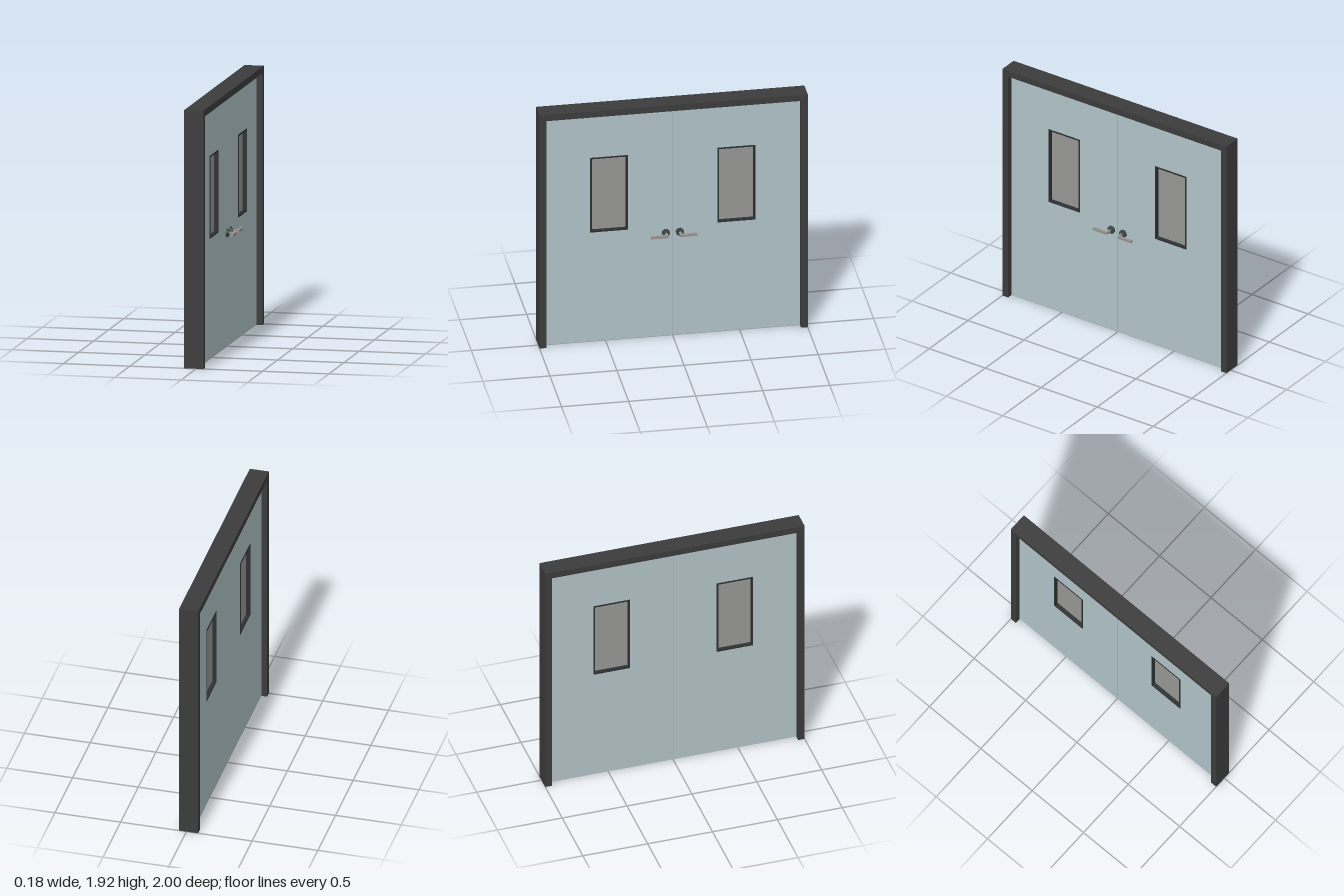
import * as THREE from 'three';

const mat = (name, color) => {
  const m = new THREE.MeshStandardMaterial({ color });
  m.name = name;
  return m;
};

// Rectangle from corner to corner, as a Shape or a hole Path
function rect(Type, a0, b0, a1, b1) {
  const p = new Type();
  p.moveTo(a0, b0);
  p.lineTo(a1, b0);
  p.lineTo(a1, b1);
  p.lineTo(a0, b1);
  p.closePath();
  return p;
}

// Extrude a (z, y) outline along x, from x0 to x1
function extrudeX(shape, x0, x1) {
  return new THREE.ExtrudeGeometry(shape, { depth: x1 - x0, bevelEnabled: false })
    .rotateY(Math.PI / 2).translate(x0, 0, 0);
}

export function createModel() {
  const frameMat = mat('charcoal frame', 0x3c3c3c);
  const doorMat = mat('pale blue paint', 0xb2c4c9);
  const trimMat = mat('dark window trim', 0x2e3031);
  const glassMat = mat('grey glass', 0x979896);
  const roseMat = mat('dark steel', 0x41484a);
  const leverMat = mat('brushed steel', 0x999592);

  const model = new THREE.Group();
  model.name = 'doubleDoor';
  const add = (parent, name, geo, material) => {
    const m = new THREE.Mesh(geo, material);
    m.name = name;
    parent.add(m);
    return m;
  };

  const H = 1.925, T = 0.05;             // overall height, frame width
  const FX0 = -0.09, FX1 = 0.055;        // frame depth
  const DX0 = -0.048, DX1 = 0.013;       // door leaf depth
  const mid = (DX0 + DX1) / 2;

  // Door frame: two jambs and a header in one arch
  const arch = new THREE.Shape([
    [-1, 0], [-1 + T, 0], [-1 + T, H - T], [1 - T, H - T],
    [1 - T, 0], [1, 0], [1, H], [-1, H],
  ].map(([a, b]) => new THREE.Vector2(a, b)));
  add(model, 'doorFrame', extrudeX(arch, FX0, FX1), frameMat);

  for (const s of [1, -1]) {
    const leaf = new THREE.Group();
    leaf.name = s > 0 ? 'frontLeaf' : 'rearLeaf';
    model.add(leaf);

    // Outlines are drawn with -z to the right, so z = s * a sits at -s * a
    const box = (Type, a0, y0, a1, y1) => {
      const [l, r] = [-s * a0, -s * a1].sort((p, q) => p - q);
      return rect(Type, l, y0, r, y1);
    };

    // Door panel with a window opening
    const panel = box(THREE.Shape, 0.002, 0.004, 1 - T, H - T);
    panel.holes.push(box(THREE.Path, 0.338, 0.908, 0.612, 1.518));
    add(leaf, 'doorPanel', extrudeX(panel, DX0, DX1), doorMat);

    // Window trim lining the opening, slightly proud of both faces
    const trim = box(THREE.Shape, 0.335, 0.905, 0.615, 1.521);
    trim.holes.push(box(THREE.Path, 0.346, 0.916, 0.604, 1.51));
    add(leaf, 'windowTrim', extrudeX(trim, DX0 - 0.004, DX1 + 0.004), trimMat);

    // Glass pane
    add(leaf, 'windowPane', extrudeX(box(THREE.Shape, 0.34, 0.91, 0.61, 1.516),
      mid - 0.004, mid + 0.004), glassMat);

    // Handle: round rose, collar and an L-shaped lever
    const handle = new THREE.Group();
    handle.name = 'handle';
    handle.position.set(DX1, 0.855, s * 0.052);
    leaf.add(handle);
    const disc = (r, d) => new THREE.CylinderGeometry(r, r, d, 24)
      .rotateZ(Math.PI / 2).translate(d / 2, 0, 0);
    add(handle, 'rose', disc(0.03, 0.014), roseMat);
    add(handle, 'collar', disc(0.017, 0.026), roseMat);

    const tip = 0.075, bar = 0.018, end = 0.119, r = 0.009;
    const ell = new THREE.Shape();
    ell.moveTo(0, s * r);
    ell.lineTo(tip - 0.014, s * r);
    ell.quadraticCurveTo(tip, s * r, tip, s * (r - 0.014));
    ell.lineTo(tip, -s * end);
    ell.lineTo(tip - bar, -s * end);
    ell.lineTo(tip - bar, -s * r);
    ell.lineTo(0, -s * r);
    ell.closePath();
    const lever = new THREE.ExtrudeGeometry(ell, { depth: 0.02, bevelEnabled: false, curveSegments: 6 })
      .rotateX(-Math.PI / 2).translate(0, -0.01, 0);
    add(handle, 'lever', lever, leverMat);
  }
  return model;
}
